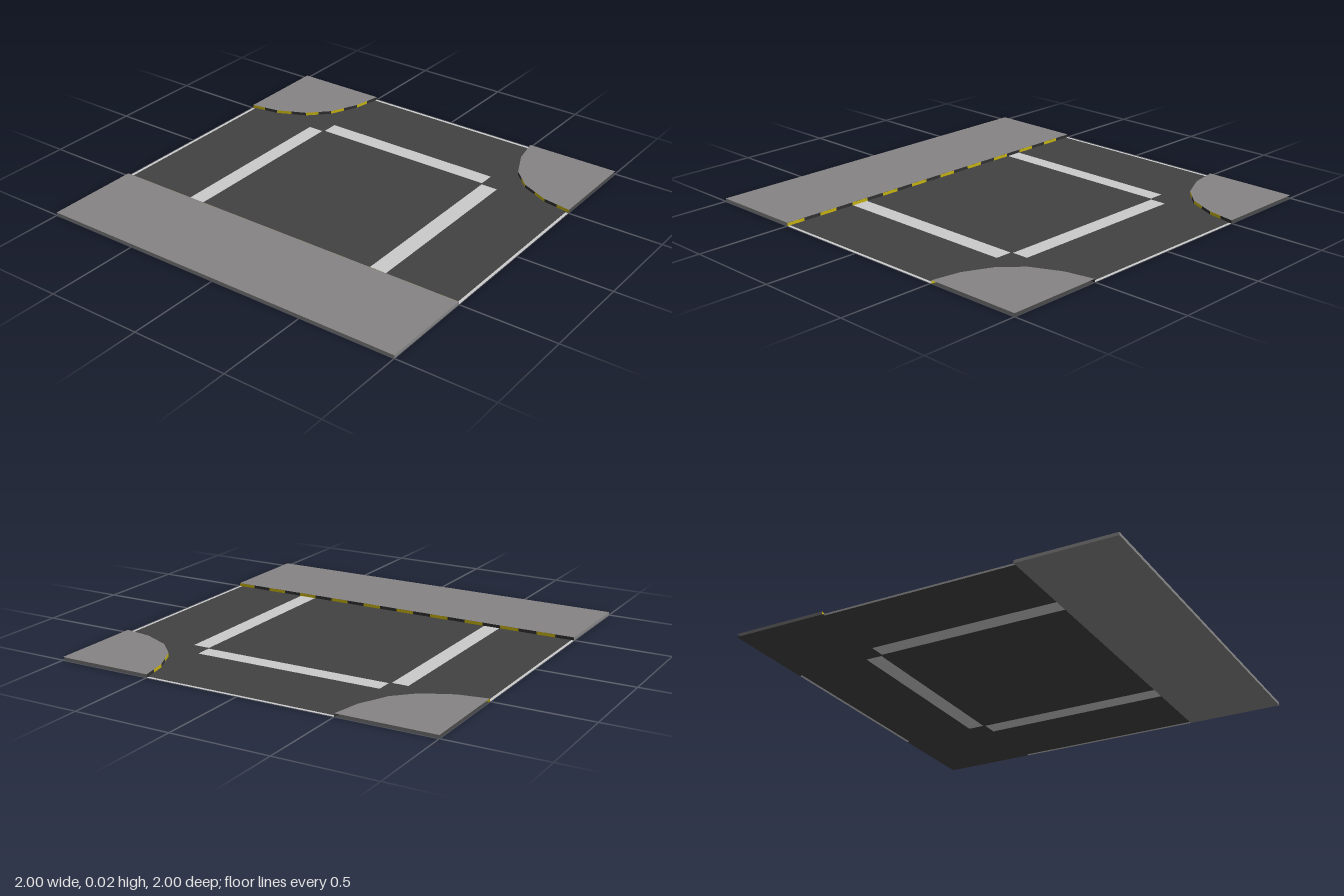
import * as THREE from 'three';
import { mergeGeometries } from 'three/addons/utils/BufferGeometryUtils.js';

const H = 0.016; // kerb height

function material(name, color) {
  const m = new THREE.MeshStandardMaterial({ color, side: THREE.DoubleSide });
  m.name = name;
  return m;
}

// Flat sheet from [x, z] corners, facing up at height y
function sheet(points, y = 0, holes = []) {
  const toV = ([x, z]) => new THREE.Vector2(x, -z);
  const shape = new THREE.Shape(points.map(toV));
  holes.forEach((h) => shape.holes.push(new THREE.Path(h.map(toV))));
  return new THREE.ShapeGeometry(shape).rotateX(-Math.PI / 2).translate(0, y, 0);
}

const rect = (x0, x1, z0, z1) => [[x0, z1], [x1, z1], [x1, z0], [x0, z0]];

// Upright strip from a to b, facing right of the direction a -> b
function wall([ax, az], [bx, bz]) {
  return new THREE.PlaneGeometry(Math.hypot(bx - ax, bz - az), H)
    .rotateY(Math.atan2(az - bz, bx - ax))
    .translate((ax + bx) / 2, H / 2, (az + bz) / 2);
}

export function createModel() {
  const model = new THREE.Group();
  const asphalt = material('asphalt', 0x424242);
  const paint = material('white paint', 0xcbcbcb);
  const concrete = material('concrete', 0x868484);
  const yellow = material('kerb yellow', 0xc4b010);
  const dark = material('kerb dark', 0x303030);

  const add = (name, geometry, mat, parent = model) => {
    const mesh = new THREE.Mesh(geometry, mat);
    mesh.name = name;
    parent.add(mesh);
  };

  // Road sheet, with gaps filled by the painted lines
  const lines = [
    rect(-0.595, -0.51, -0.5, 0.5),
    rect(0.505, 0.595, -0.5, 0.5),
    rect(-0.5, 0.5, -0.597, -0.51),
  ];
  const e = 0.985;
  const outline = [
    [-e, 0.5], [e, 0.5], [e, -0.5], [1, -0.5], [1, -1], [0.5, -1], [0.5, -e],
    [-0.5, -e], [-0.5, -1], [-1, -1], [-1, -0.5], [-e, -0.5],
  ];
  add('road', sheet(outline, 0, lines), asphalt);
  add('crossingLines', mergeGeometries(lines.map((l) => sheet(l))), paint);
  const edges = [rect(-1, -e, -0.5, 0.5), rect(e, 1, -0.5, 0.5), rect(-0.5, 0.5, -1, -e)];
  add('edgeLines', mergeGeometries(edges.map((l) => sheet(l))), paint);

  // Straight pavement with a striped kerb facing the road
  const box = new THREE.BoxGeometry(2, H, 0.5).translate(0, H / 2, 0.75);
  add('straightPavement', box, [concrete, concrete, concrete, concrete, concrete, dark]);
  const stripes = [];
  for (let i = 0; i < 10; i++) {
    const x = 1 - i * 0.2;
    stripes.push(wall([x, 0.499], [x - 0.1, 0.499]));
  }
  add('straightKerbStripes', mergeGeometries(stripes), yellow);

  // Rounded corner pavements, open on their outer sides
  const arc = [[1, -0.505], [0.85, -0.53], [0.7, -0.6], [0.6, -0.7], [0.53, -0.85], [0.5, -1]];
  for (const side of [1, -1]) {
    const corner = new THREE.Group();
    corner.name = side > 0 ? 'leftCorner' : 'rightCorner';
    const pts = arc.map(([x, z]) => [x * side, z]);
    add('cornerPavement', sheet([...pts, [side, -1]], H), concrete, corner);
    const first = [], second = [];
    for (let i = 0; i < pts.length - 1; i++) {
      const a = pts[i], b = pts[i + 1];
      const mid = [(a[0] + b[0]) / 2, (a[1] + b[1]) / 2];
      first.push(side > 0 ? wall(b, a).copy(wall(mid, a)) : wall(a, mid));
      second.push(side > 0 ? wall(b, mid) : wall(mid, b));
    }
    add('cornerKerbYellow', mergeGeometries(first), yellow, corner);
    add('cornerKerbDark', mergeGeometries(second), dark, corner);
    model.add(corner);
  }
  return model;
}
